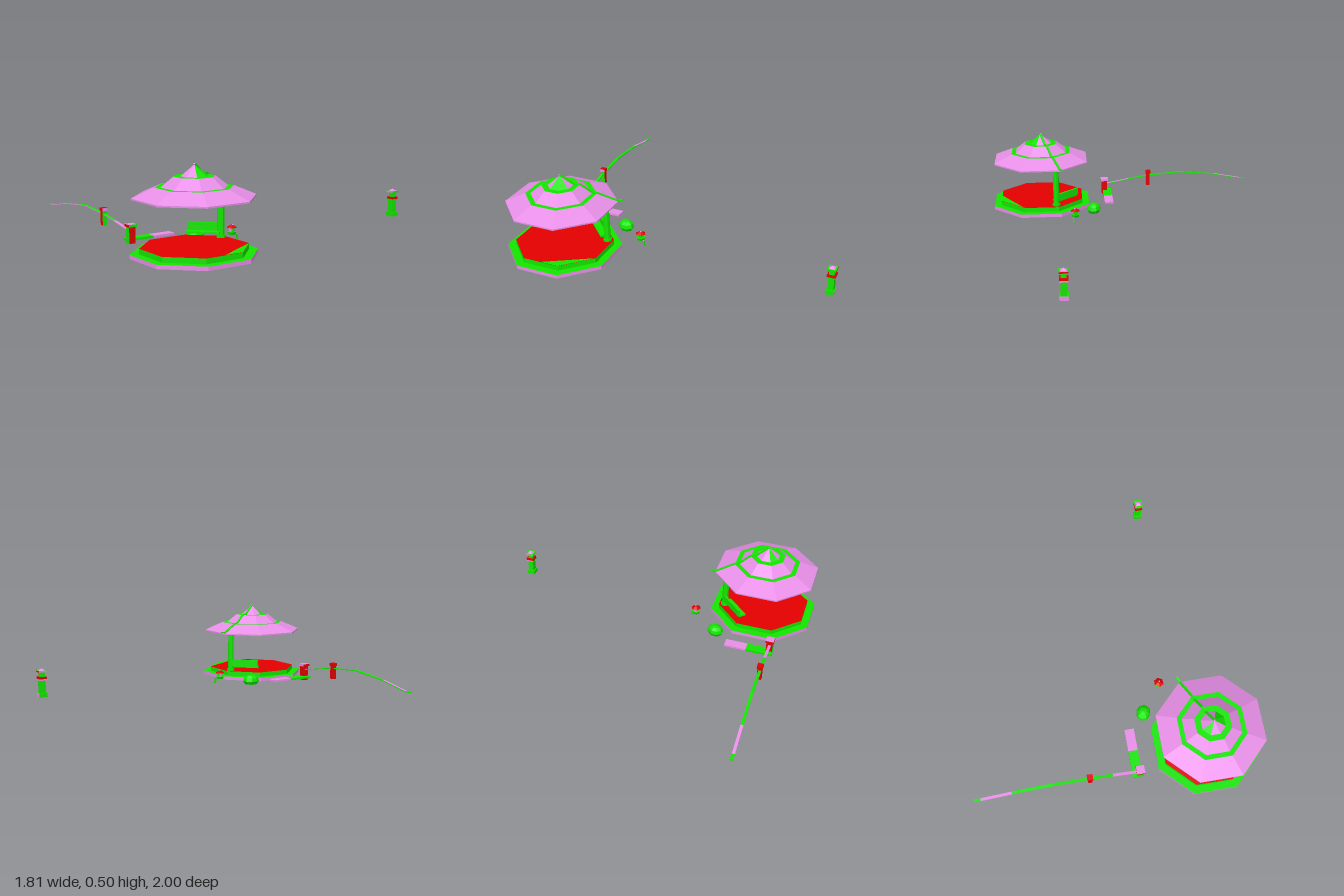
import * as THREE from 'three';

const mat = (name, color) => {
  const m = new THREE.MeshStandardMaterial({ color });
  m.name = name;
  return m;
};

export function createModel() {
  const pink = mat('pink', 0xec92ec), green = mat('green', 0x14e600), red = mat('red', 0xe40000);
  const stone = mat('stone', 0xdcd2be);
  const model = new THREE.Group();
  const APO = Math.cos(Math.PI / 8); // octagon: flat half width / corner radius

  // Faceted mesh
  const add = (parent, name, geo, material, x = 0, y = 0, z = 0) => {
    const g = geo.index ? geo.toNonIndexed() : geo;
    g.computeVertexNormals();
    const m = new THREE.Mesh(g, material);
    m.name = name;
    m.position.set(x, y, z);
    parent.add(m);
    return m;
  };
  // Box standing between two heights; material order +x, -x, top, bottom, front, back
  const box = (parent, name, w, d, y0, y1, material, x = 0, z = 0) =>
    add(parent, name, new THREE.BoxGeometry(w, y1 - y0, d), material, x, (y0 + y1) / 2, z);
  // Octagonal frustum given by flat half widths
  const oct = (parent, name, a0, a1, y0, y1, material, open = false) =>
    add(parent, name, new THREE.CylinderGeometry(a1 / APO, a0 / APO, y1 - y0, 8, 1, open).rotateY(Math.PI / 8),
      material, 0, (y0 + y1) / 2, 0);
  // Flat strip between two points, kept level across its width
  const strip = (parent, name, a, b, thick, width, material) => {
    const d = b.clone().sub(a), length = d.length();
    d.normalize();
    const side = d.clone().cross(new THREE.Vector3(0, 1, 0)).normalize();
    const m = add(parent, name, new THREE.BoxGeometry(length + 0.001, thick, width), material);
    m.position.copy(a).lerp(b, 0.5);
    m.quaternion.setFromRotationMatrix(new THREE.Matrix4().makeBasis(d, side.clone().cross(d), side));
  };
  const group = (name, x, z) => {
    const g = new THREE.Group();
    g.name = name;
    g.position.set(x, 0, z);
    model.add(g);
    return g;
  };

  // Pavilion platform: materials are side, top, bottom
  const pavilion = group('pavilion', 0.58, 0.672);
  oct(pavilion, 'lowerStep', 0.325, 0.325, 0.003, 0.026, [pink, green, pink]);
  oct(pavilion, 'floor', 0.278, 0.278, 0.026, 0.056, [green, red, green]);
  const corner = [1.5, 2.5, 3.5].map((i) => new THREE.Vector3(
    Math.sin(i * Math.PI / 4), 0, Math.cos(i * Math.PI / 4)).multiplyScalar(0.278 / APO));
  corner[0].lerp(corner[1], 0.5);
  add(pavilion, 'floorCorner', new THREE.BufferGeometry().setFromPoints(corner), green, 0, 0.0575, 0);
  // Bearers under the platform
  for (const x of [-0.15, 0.16]) box(pavilion, 'bearer', 0.09, 0.5, 0.001, 0.003, stone, x);

  // Roof: three sloping tiers parted by flat ledges
  oct(pavilion, 'eaves', 0.314, 0.314, 0.317, 0.326, [pink, pink, red]);
  oct(pavilion, 'lowerRoof', 0.314, 0.198, 0.326, 0.379, pink, true);
  oct(pavilion, 'middleRoof', 0.17, 0.105, 0.379, 0.435, pink, true);
  for (const [inner, outer, y] of [[0.165, 0.198, 0.379], [0.06, 0.105, 0.435]]) {
    add(pavilion, 'roofLedge',
      new THREE.RingGeometry(inner / APO, outer / APO, 8).rotateX(-Math.PI / 2).rotateY(Math.PI / 8),
      green, 0, y, 0);
  }
  for (let i = 0; i < 8; i++) {
    add(pavilion, 'roofCapPanel',
      new THREE.CylinderGeometry(0, 0.07 / APO, 0.062, 1, 1, true, (i + 0.5) * Math.PI / 4, Math.PI / 4),
      [1, 2, 6].includes(i) ? green : pink, 0, 0.466, 0);
  }
  add(pavilion, 'finial', new THREE.SphereGeometry(0.007, 6, 4), pink, 0, 0.498, 0);

  // Hip rafter running down to the rear corner and curling past the eaves
  const dir = new THREE.Vector2(-Math.sin(Math.PI / 8), -Math.cos(Math.PI / 8));
  const hip = [[0, 0.502], [0.08, 0.441], [0.115, 0.441], [0.188, 0.386], [0.216, 0.383], [0.338, 0.331], [0.372, 0.338]]
    .map(([r, y]) => new THREE.Vector3(dir.x * r, y, dir.y * r));
  for (let i = 1; i < hip.length; i++) strip(pavilion, 'hipRafter', hip[i - 1], hip[i], 0.005, 0.015, green);

  // Column with foot and capital
  const column = group('column', 0.58 + dir.x * 0.262, 0.672 + dir.y * 0.262);
  add(column, 'shaft', new THREE.CylinderGeometry(0.019, 0.021, 0.264, 8), green, 0, 0.188, 0);
  for (const y of [0.063, 0.311]) {
    add(column, 'columnCollar', new THREE.CylinderGeometry(0.027, 0.027, 0.014, 8), green, 0, y, 0);
  }

  // Bench spanning the diagonal side
  const bench = group('bench', 0.41, 0.502);
  bench.rotation.y = Math.PI / 4;
  box(bench, 'seat', 0.19, 0.05, 0.081, 0.092, green, 0, 0.015);
  box(bench, 'backrest', 0.19, 0.014, 0.092, 0.137, green, 0, -0.012);

  // Distant stone lantern
  const lantern = group('stoneLantern', 0.445, -0.973);
  box(lantern, 'base', 0.052, 0.052, 0.02, 0.046, [green, green, green, pink, green, pink]);
  box(lantern, 'pillar', 0.036, 0.036, 0.046, 0.125, green);
  box(lantern, 'shelf', 0.05, 0.05, 0.125, 0.134, [green, pink, pink, pink, green, pink]);
  box(lantern, 'shelfBand', 0.05, 0.05, 0.134, 0.147, red);
  box(lantern, 'lightBox', 0.032, 0.032, 0.147, 0.177, green);
  box(lantern, 'roofSlab', 0.054, 0.054, 0.177, 0.186, [green, pink, green, red, pink, red]);
  add(lantern, 'roofPeak', new THREE.ConeGeometry(0.026, 0.014, 4).rotateY(Math.PI / 4), pink, 0, 0.193, 0);

  // Small hexagonal lantern with a two-coloured light box
  const small = group('smallLantern', 0.356, 0.265);
  add(small, 'tray', new THREE.CylinderGeometry(0.029, 0.022, 0.016, 6), [green, green, pink], 0, 0.04, 0);
  for (const [start, material] of [[Math.PI / 4, green], [Math.PI * 1.25, pink]]) {
    add(small, 'lightBoxHalf', new THREE.CylinderGeometry(0.017, 0.017, 0.026, 3, 1, true, start, Math.PI),
      material, 0, 0.06, 0);
  }
  add(small, 'cap', new THREE.CylinderGeometry(0.008, 0.032, 0.015, 6), [red, red, pink], 0, 0.08, 0);
  add(small, 'knob', new THREE.SphereGeometry(0.006, 6, 4), pink, 0.004, 0.088, -0.004);
  const leg = box(small, 'leg', 0.009, 0.009, 0.002, 0.036, [green, green, pink, green, green, green], 0.014, -0.028);
  leg.rotation.x = 0.15;

  // Clipped shrub: a dome on a tapering skirt
  const shrub = group('shrub', 0.226, 0.434);
  shrub.rotation.y = -0.4;
  add(shrub, 'dome', new THREE.SphereGeometry(1, 8, 3, 0, Math.PI * 2, 0, Math.PI / 2).scale(0.046, 0.044, 0.055),
    green, 0, 0.022, 0);
  add(shrub, 'skirt', new THREE.CylinderGeometry(1, 0.75, 0.022, 8).rotateY(-Math.PI / 2).scale(0.046, 1, 0.055),
    [green, green, red], 0, 0.011, 0);

  // Plank, painted in two halves
  const plank = group('plank', 0.116, 0.004);
  box(plank, 'plankRear', 0.06, 0.14, 0.025, 0.038, [pink, pink, pink, red, green, pink], 0, 0.595);
  box(plank, 'plankFront', 0.06, 0.167, 0.025, 0.038, [green, green, green, red, green, red], 0, 0.7485);

  // Railing posts
  const postA = group('endPost', 0.134, 0.813);
  box(postA, 'post', 0.038, 0.04, 0.01, 0.106, [red, red, green, red, green, red]);
  box(postA, 'postCap', 0.052, 0.052, 0.106, 0.121, [green, red, pink, red, red, pink]);
  const postB = group('middlePost', -0.182, 0.817);
  box(postB, 'post', 0.026, 0.028, 0.065, 0.152, [green, red, green, green, red, red]);
  box(postB, 'postCap', 0.036, 0.036, 0.152, 0.17, [pink, red, red, red, red, red]);

  // Handrail in straight pieces: x, y, z, colour of the top and of the underside
  const rail = group('handrail', 0, 0.003);
  const stops = [[-0.905, 0.094, 0.825, green, red], [-0.86, 0.094, 0.825, pink, green],
    [-0.665, 0.13, 0.823, green, green], [-0.41, 0.153, 0.819, green, red], [-0.16, 0.132, 0.815, green, red],
    [-0.04, 0.111, 0.813, pink, red], [0.1, 0.085, 0.811, pink, red], [0.15, 0.085, 0.81, pink, red]];
  for (let i = 1; i < stops.length; i++) {
    const [x, y, z, top, under] = stops[i - 1];
    strip(rail, 'railPiece', new THREE.Vector3(x, y, z), new THREE.Vector3(...stops[i].slice(0, 3)),
      0.005, 0.018, [green, green, top, under, pink, green]);
  }

  return model;
}
